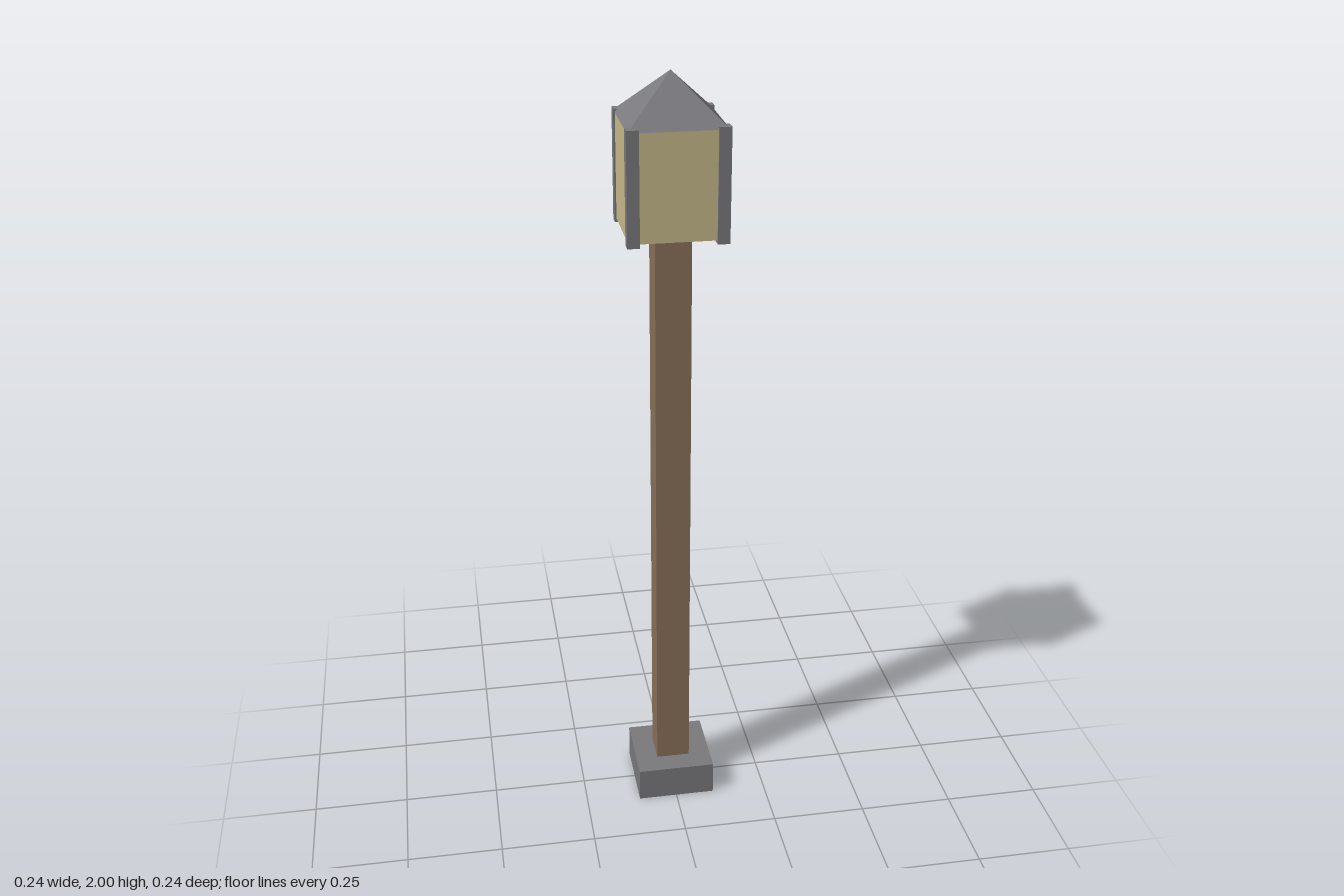
import * as THREE from 'three';

export function createModel() {
  const lamp = new THREE.Group();
  lamp.name = 'lampPost';

  const material = (name, color) => {
    const m = new THREE.MeshStandardMaterial({ color });
    m.name = name;
    return m;
  };
  const metal = material('grey metal', 0x7a7a7e);
  const wood = material('brown wood', 0x8a705a);
  const glass = material('pale yellow glass', 0xc8ba8a);

  const add = (name, geometry, mat, x, y, z) => {
    const mesh = new THREE.Mesh(geometry, mat);
    mesh.name = name;
    mesh.position.set(x, y, z);
    lamp.add(mesh);
  };
  // Square upright block between two heights
  const block = (name, mat, width, bottom, top, x = 0, z = 0) =>
    add(name, new THREE.BoxGeometry(width, top - bottom, width), mat, x, (bottom + top) / 2, z);

  block('base', metal, 0.208, 0, 0.093);
  block('post', wood, 0.09, 0.01, 1.63);
  block('lanternGlass', glass, 0.236, 1.626, 1.886);

  // Four-sided pyramid roof, its sides in line with the glass
  const roofHeight = 0.114;
  const roof = new THREE.ConeGeometry(0.119 * Math.SQRT2, roofHeight, 4).toNonIndexed();
  roof.rotateY(Math.PI / 4);
  roof.computeVertexNormals();
  add('roof', roof, metal, 0, 1.886 + roofHeight / 2, 0);

  // Corner bars framing the lantern
  for (const sx of [-1, 1]) {
    for (const sz of [-1, 1]) {
      block('cornerBar', metal, 0.03, 1.617, 1.893, sx * 0.107, sz * 0.107);
    }
  }
  return lamp;
}
